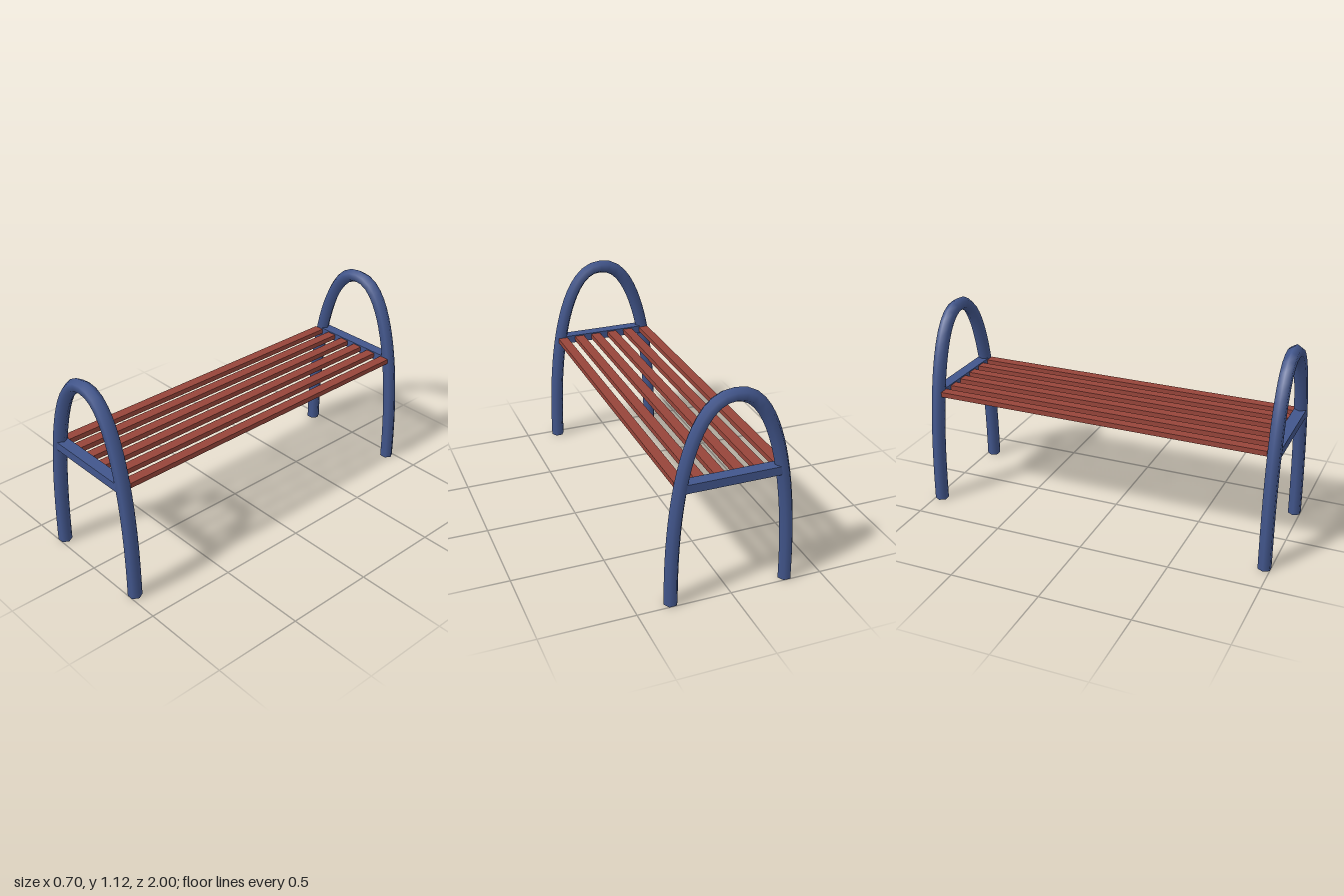
import * as THREE from 'three';

const TUBE_R = 0.0375;
const DEPTH = TUBE_R * Math.sqrt(3); // flat-to-flat width of the six-sided tube
const END_Z = 1 - DEPTH / 2;
const HALF_W = 0.3125, HEIGHT = 1.082, POWER = 2 / 2.3;

// Tall, slightly squared arch lying in the xy plane
class ArchCurve extends THREE.Curve {
  getPoint(t, target = new THREE.Vector3()) {
    const a = t * Math.PI, c = Math.cos(a), s = Math.max(0, Math.sin(a));
    return target.set(
      HALF_W * Math.sign(c) * Math.abs(c) ** POWER, HEIGHT * s ** POWER, 0);
  }

  // Frames with normals in the arch plane, so tube corners point in and out
  computeFrenetFrames(segments) {
    const tangents = [], normals = [], binormals = [];
    for (let i = 0; i <= segments; i++) {
      const t = this.getTangentAt(i / segments);
      if (i === 0) t.set(0, 1, 0);
      if (i === segments) t.set(0, -1, 0);
      tangents.push(t);
      normals.push(new THREE.Vector3(-t.y, t.x, 0));
      binormals.push(new THREE.Vector3(0, 0, 1));
    }
    return { tangents, normals, binormals };
  }
}

export function createModel() {
  const group = new THREE.Group();
  group.name = 'bench';

  const blue = new THREE.MeshStandardMaterial({ color: 0x42568c });
  blue.name = 'blue paint';
  const red = new THREE.MeshStandardMaterial({ color: 0x97453a });
  red.name = 'red wood';

  const add = (parent, name, geometry, material, x, y, z) => {
    const mesh = new THREE.Mesh(geometry, material);
    mesh.name = name;
    mesh.position.set(x, y, z);
    parent.add(mesh);
    return mesh;
  };

  const archGeo = new THREE.TubeGeometry(new ArchCurve(), 48, TUBE_R, 6, false);
  const footGeo = new THREE.CircleGeometry(TUBE_R, 6).rotateX(Math.PI / 2);
  const barGeo = new THREE.BoxGeometry(0.505, 0.046, DEPTH);

  // Two end frames: arch, closed feet and crossbar
  for (const side of [1, -1]) {
    const frame = new THREE.Group();
    frame.name = side > 0 ? 'frontFrame' : 'backFrame';
    frame.position.z = side * END_Z;
    add(frame, 'arch', archGeo, blue, 0, 0, 0);
    add(frame, 'leftFootCap', footGeo, blue, HALF_W, 0, 0);
    add(frame, 'rightFootCap', footGeo, blue, -HALF_W, 0, 0);
    add(frame, 'crossbar', barGeo, blue, 0, 0.647, 0);
    group.add(frame);
  }

  // Six seat slats running between the frames
  const slatGeo = new THREE.BoxGeometry(0.056, 0.028, 2 * (1 - DEPTH));
  for (let i = 0; i < 6; i++) {
    add(group, 'seatSlat', slatGeo, red, (i - 2.5) * 0.105 - 0.002, 0.649, 0);
  }
  return group;
}
